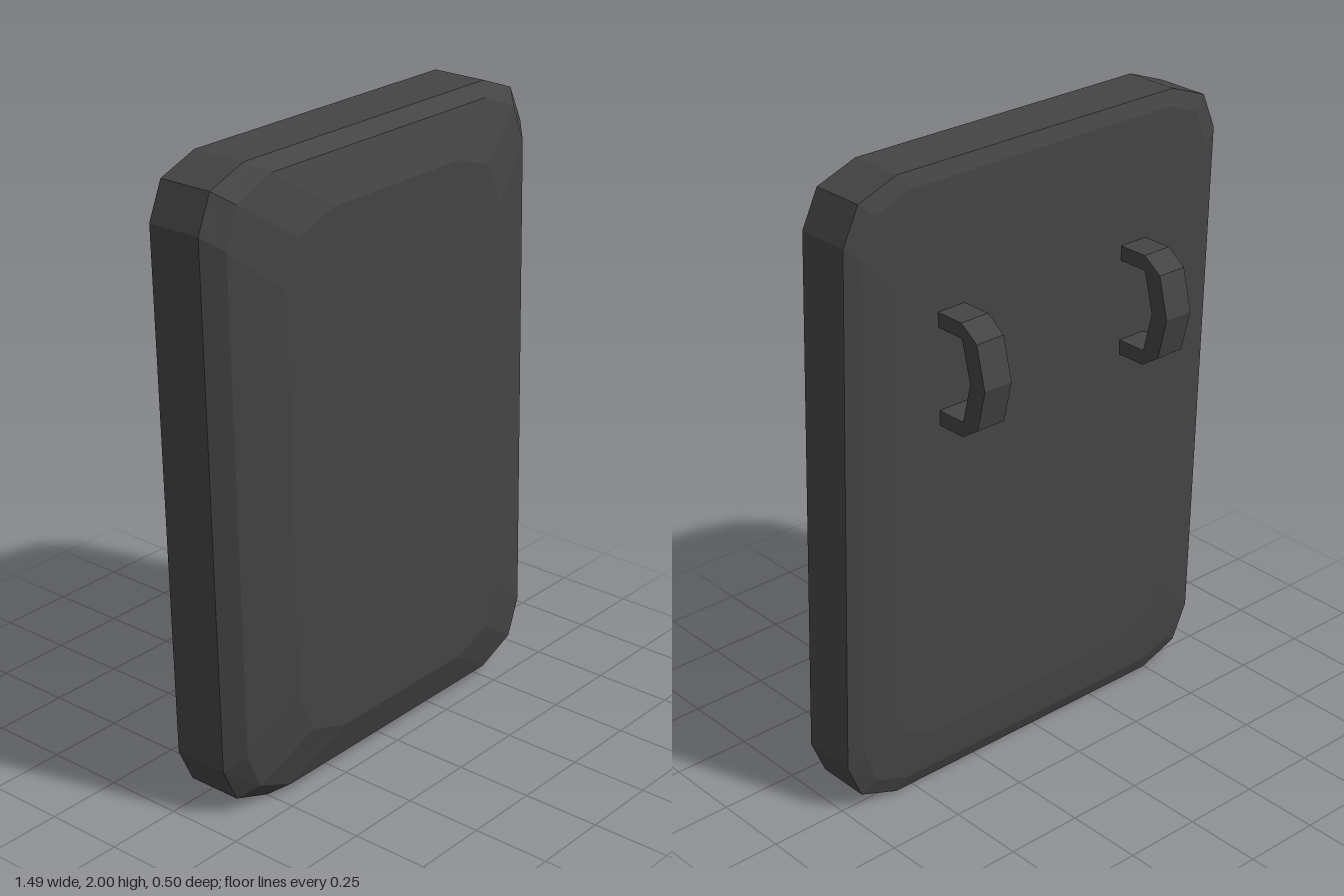
import * as THREE from 'three';

const SHEAR = -0.032; // the slab leans slightly sideways

// Twelve-sided outline, counterclockwise, mirrored from one chamfered corner
function outline(corner, z) {
  const back = [...corner].reverse();
  return [
    ...corner,
    ...back.map(([x, y]) => [-x, y]),
    ...corner.map(([x, y]) => [-x, -y]),
    ...back.map(([x, y]) => [x, -y]),
  ].map(([x, y]) => [x + SHEAR * y, y + 1, z]);
}

// Closed loft through the outlines, from back to front
function loft(rings) {
  const n = rings[0].length;
  const index = [];
  for (let k = 0; k < rings.length - 1; k++) {
    for (let i = 0; i < n; i++) {
      const j = (i + 1) % n;
      const a = k * n + i, b = k * n + j;
      index.push(a, b, b + n, a, b + n, a + n);
    }
  }
  const last = (rings.length - 1) * n;
  for (let i = 1; i < n - 1; i++) {
    index.push(0, i + 1, i);
    index.push(last, last + i, last + i + 1);
  }
  const geo = new THREE.BufferGeometry();
  geo.setAttribute('position', new THREE.Float32BufferAttribute(rings.flat(2), 3));
  geo.setIndex(index);
  const flat = geo.toNonIndexed();
  flat.computeVertexNormals();
  return flat;
}

export function createModel() {
  const group = new THREE.Group();
  const material = new THREE.MeshStandardMaterial({ color: 0x444444, flatShading: true });

  // Slab: shallow back bevel, straight rim, two-step front bevel
  const rim = [[0.717, 0.835], [0.665, 0.95], [0.53, 1]];
  const slab = new THREE.Mesh(loft([
    outline([[0.56, 0.68], [0.52, 0.78], [0.4, 0.83]], -0.055),
    outline([[0.665, 0.79], [0.62, 0.91], [0.5, 0.955]], -0.047),
    outline(rim, -0.03),
    outline(rim, 0.15),
    outline([[0.663, 0.79], [0.615, 0.91], [0.475, 0.967]], 0.2),
    outline([[0.485, 0.64], [0.425, 0.78], [0.28, 0.83]], 0.25),
  ]), material);
  slab.name = 'slab';
  group.add(slab);

  // Handles: bent strap profile (distance behind, height), extruded across x
  const strap = new THREE.Shape([
    [0.04, 1.565], [0.155, 1.565], [0.22, 1.52], [0.253, 1.385], [0.22, 1.25],
    [0.155, 1.207], [0.04, 1.207], [0.04, 1.255], [0.157, 1.255],
    [0.19, 1.385], [0.157, 1.517], [0.04, 1.517],
  ].map(([d, y]) => new THREE.Vector2(d, y)));
  const strapGeo = new THREE.ExtrudeGeometry(strap, { depth: 0.1, bevelEnabled: false });
  strapGeo.translate(0, 0, -0.05).rotateY(Math.PI / 2);
  for (const [name, x] of [['rightHandle', -0.386], ['leftHandle', 0.331]]) {
    const handle = new THREE.Mesh(strapGeo, material);
    handle.name = name;
    handle.position.x = x;
    group.add(handle);
  }
  return group;
}
